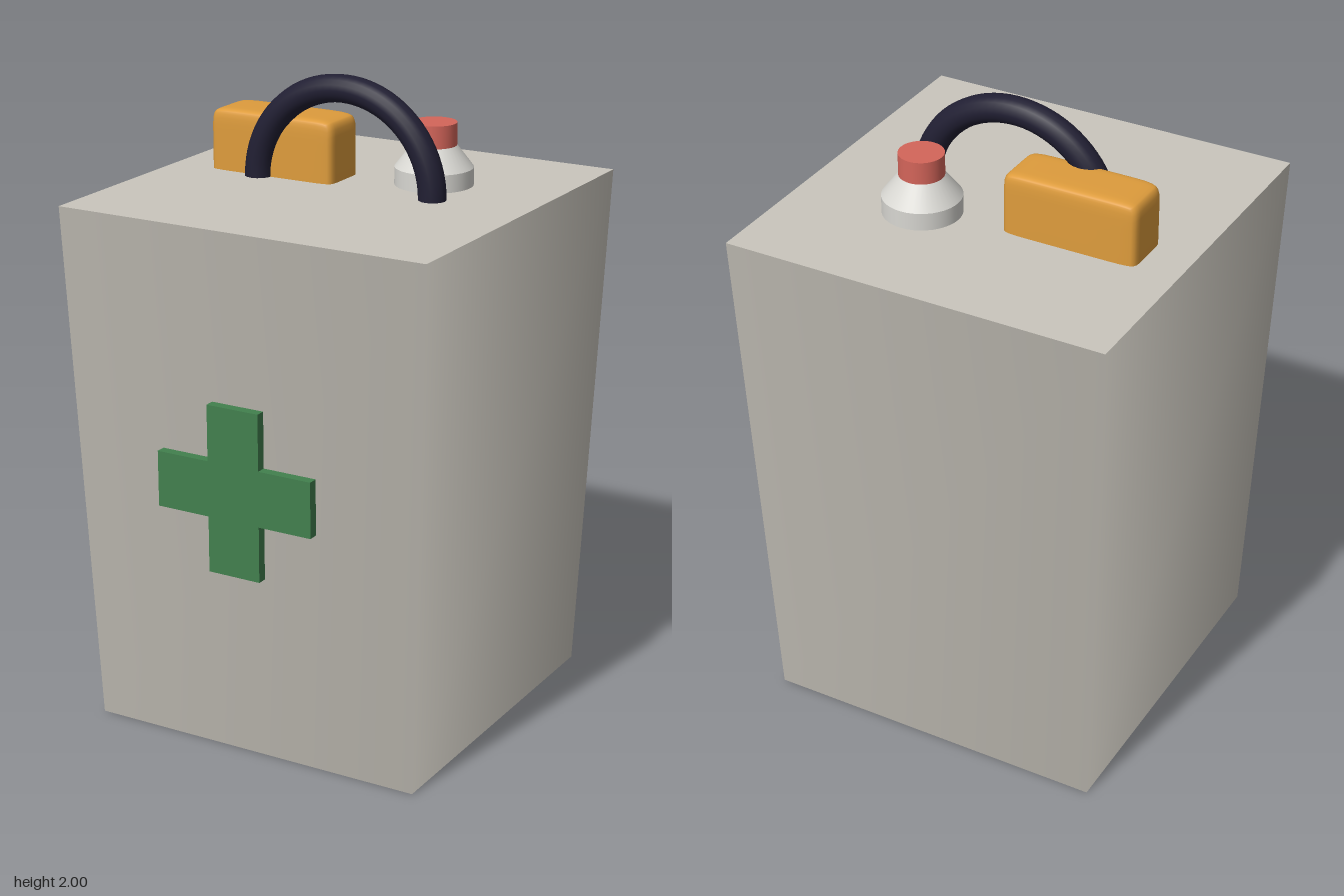
import * as THREE from 'three';
import { mergeVertices } from 'three/addons/utils/BufferGeometryUtils.js';

const material = (name, color, extra = {}) => {
  const m = new THREE.MeshStandardMaterial({ color, ...extra });
  m.name = name;
  return m;
};

// Box with soft edges and gently bulging faces (a superellipsoid)
function softBox(width, height, depth, power) {
  let geometry = new THREE.BoxGeometry(2, 2, 2, 14, 14, 14);
  geometry.deleteAttribute('normal');
  geometry.deleteAttribute('uv');
  geometry = mergeVertices(geometry);
  const p = geometry.attributes.position;
  for (let i = 0; i < p.count; i++) {
    // Crowd the vertices towards the edges, then round them off
    const c = [p.getX(i), p.getY(i), p.getZ(i)].map((v) => Math.sin((v * Math.PI) / 2));
    const r = c.reduce((sum, v) => sum + Math.abs(v) ** power, 0) ** (1 / power);
    p.setXYZ(i, (c[0] / r) * width / 2, (c[1] / r) * height / 2, (c[2] / r) * depth / 2);
  }
  geometry.computeVertexNormals();
  return geometry;
}

export function createModel() {
  const model = new THREE.Group();
  model.name = 'medicalCanister';
  const grey = material('warmGrey', 0xcac6bd);
  const pale = material('paleGrey', 0xd8d7d2);
  const red = material('red', 0xd4655a);
  const amber = material('amber', 0xde9c3c);
  const green = material('green', 0x42804e);
  const navy = material('darkNavy', 0x211f33, { side: THREE.DoubleSide });

  const add = (name, geometry, mat, x, y, z) => {
    const mesh = new THREE.Mesh(geometry, mat);
    mesh.name = name;
    mesh.position.set(x, y, z);
    model.add(mesh);
    return mesh;
  };

  const top = 1.653;
  const midZ = -0.015;

  // Tapered four-sided body with smooth side normals
  const body = new THREE.CylinderGeometry(0.614 * Math.SQRT2, 0.553 * Math.SQRT2, top, 4);
  body.rotateY(Math.PI / 4);
  add('body', body, grey, 0, top / 2, midZ);

  // Carrying handle
  add('handle', new THREE.TorusGeometry(0.303, 0.043, 16, 40, Math.PI), navy, 0, top, midZ - 0.001);

  // Soft-edged block on the lid
  add('lidBlock', softBox(0.434, 0.26, 0.176, 10), amber, -0.263, 1.717, -0.102);

  // Stepped valve and its cap
  const valve = new THREE.Group();
  valve.name = 'valve';
  valve.position.set(0.216, top, -0.19);
  const valvePart = (name, rTop, rBottom, y0, y1, mat) => {
    const mesh = new THREE.Mesh(new THREE.CylinderGeometry(rTop, rBottom, y1 - y0, 40), mat);
    mesh.name = name;
    mesh.position.y = (y0 + y1) / 2;
    valve.add(mesh);
  };
  valvePart('valveBase', 0.121, 0.121, 0, 0.055, pale);
  valvePart('valveCone', 0.069, 0.121, 0.055, 0.123, pale);
  valvePart('valveCap', 0.069, 0.069, 0.123, 0.193, red);
  model.add(valve);

  // Cross plate standing just off the front
  const a = 0.262, b = 0.087;
  const outline = [[-b, -a], [b, -a], [b, -b], [a, -b], [a, b], [b, b],
    [b, a], [-b, a], [-b, b], [-a, b], [-a, -b], [-b, -b]];
  const cross = new THREE.Shape(outline.map(([x, y]) => new THREE.Vector2(x, y)));
  add('cross', new THREE.ExtrudeGeometry(cross, { depth: 0.031, bevelEnabled: false }), green, 0, 0.874, 0.599);

  return model;
}
